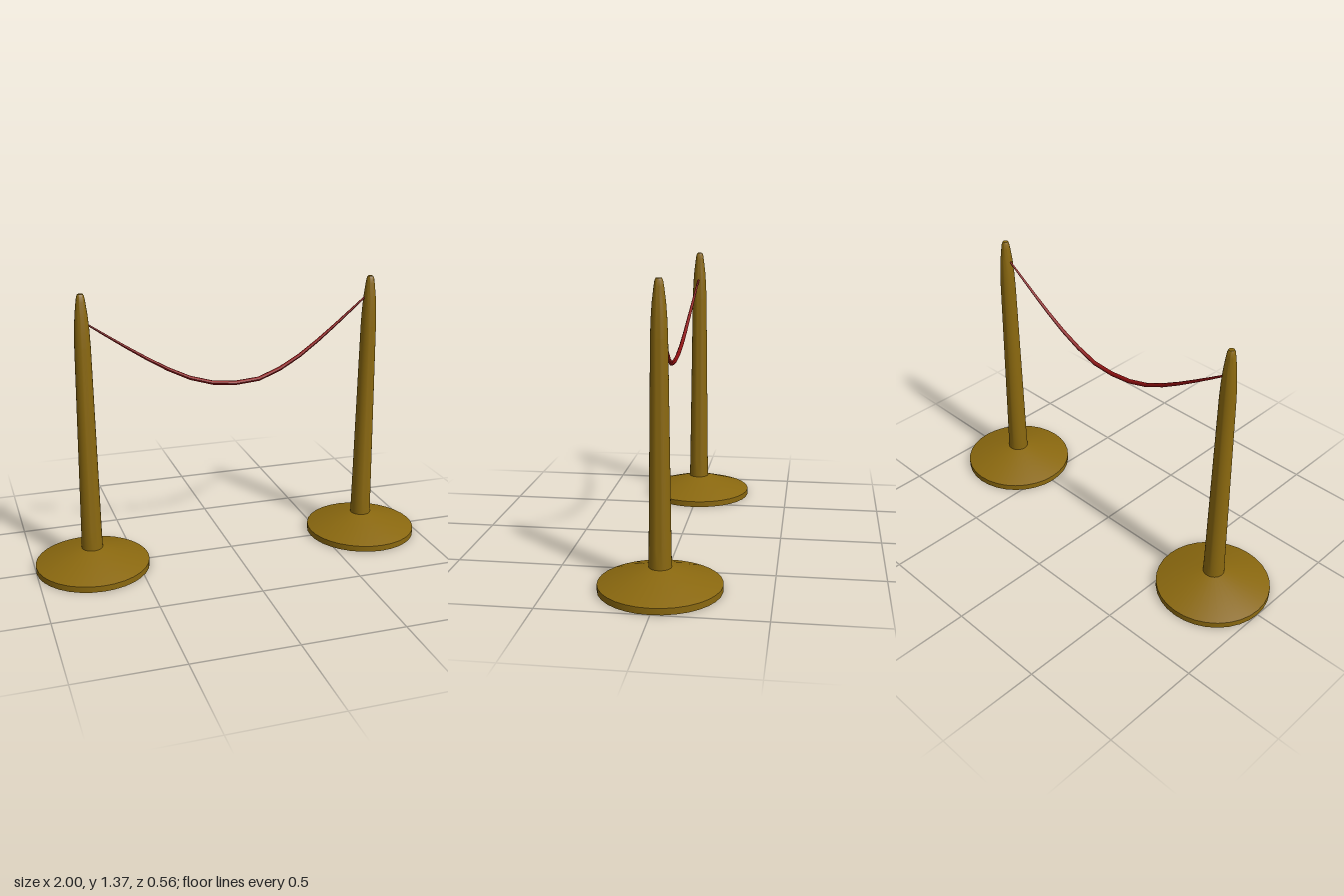
import * as THREE from 'three';
import { toCreasedNormals } from 'three/addons/utils/BufferGeometryUtils.js';

const V = (x, y, z) => new THREE.Vector3(x, y, z);

// Rope: a sagging tube that thins towards both ends
function ropeGeometry() {
  const curve = new THREE.CatmullRomCurve3([
    V(-0.72, 1.245, 0), V(-0.54, 1.123, 0.015), V(-0.39, 1.028, 0.025),
    V(-0.25, 0.952, 0.032), V(-0.13, 0.91, 0.036), V(0, 0.894, 0.036),
    V(0.1, 0.898, 0.035), V(0.17, 0.914, 0.034), V(0.29, 0.97, 0.029),
    V(0.37, 1.018, 0.024), V(0.49, 1.105, 0.016), V(0.72, 1.287, 0),
  ]);
  const segments = 14, sides = 6;
  const geometry = new THREE.TubeGeometry(curve, segments, 0.011, sides);
  const pos = geometry.attributes.position;
  const p = new THREE.Vector3();
  for (let i = 0; i <= segments; i++) {
    const t = i / segments;
    const centre = curve.getPointAt(t);
    const taper = 0.4 + 0.6 * Math.sin(Math.PI * t);
    for (let j = 0; j <= sides; j++) {
      const k = i * (sides + 1) + j;
      p.fromBufferAttribute(pos, k).sub(centre).multiplyScalar(taper).add(centre);
      pos.setXYZ(k, p.x, p.y, p.z);
    }
  }
  geometry.computeVertexNormals();
  return geometry;
}

export function createModel() {
  const group = new THREE.Group();
  const brass = new THREE.MeshStandardMaterial({ color: 0x8a680f });
  const red = new THREE.MeshStandardMaterial({ color: 0x8f0f0f });

  const lathe = (points) => toCreasedNormals(
    new THREE.LatheGeometry(points.map(([r, y]) => new THREE.Vector2(r, y)), 32), 0.6);

  // Disc foot with a sloping top
  const foot = lathe([[0, 0], [0.28, 0], [0.28, 0.03], [0.052, 0.105], [0, 0.105]]);
  // Tapering shaft with a rounded, blunt tip
  const shaft = lathe([[0.052, 0.1], [0.05, 0.2], [0.038, 1.12], [0.035, 1.2],
    [0.03, 1.27], [0.022, 1.335], [0.018, 1.36], [0.013, 1.37], [0, 1.37]]);

  for (const side of [-1, 1]) {
    const post = new THREE.Group();
    post.name = side > 0 ? 'leftPost' : 'rightPost';
    post.position.x = side * 0.72;
    for (const [name, geometry] of [['foot', foot], ['shaft', shaft]]) {
      const mesh = new THREE.Mesh(geometry, brass);
      mesh.name = name;
      post.add(mesh);
    }
    group.add(post);
  }

  const rope = new THREE.Mesh(ropeGeometry(), red);
  rope.name = 'rope';
  group.add(rope);
  return group;
}
